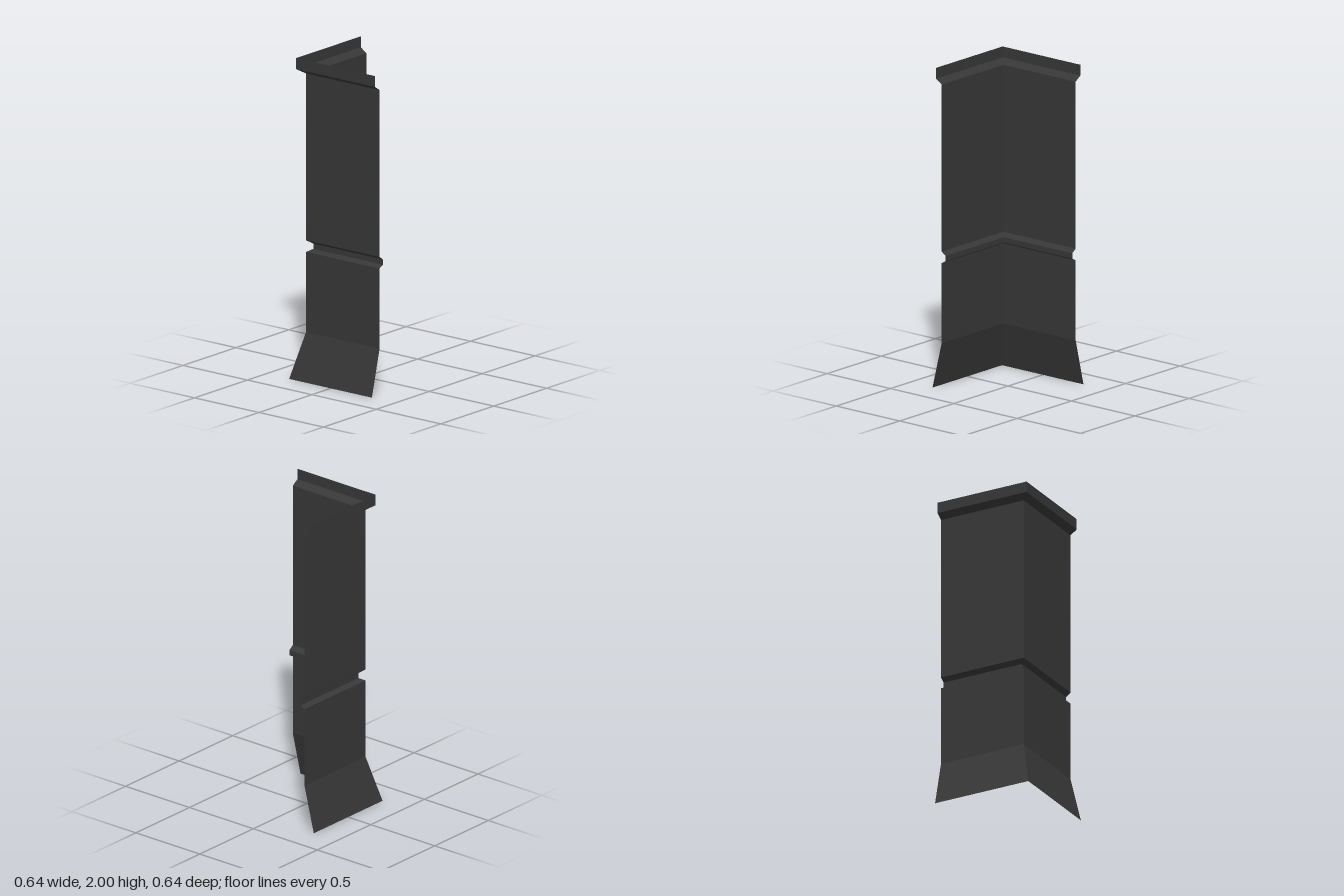
import * as THREE from 'three';

const END = 0.32; // where both arms stop

// Bands of the wall profile, each a list of [corner offset, height]
const BANDS = {
  flaredBase: [[0.322, 0], [0.25, 0.29]],
  lowerPanel: [[0.25, 0.29], [0.25, 0.79]],
  groove: [[0.25, 0.79], [0.219, 0.807], [0.219, 0.84], [0.25, 0.862]],
  upperPanel: [[0.25, 0.862], [0.25, 1.903]],
  topRim: [[0.25, 1.903], [0.293, 1.932], [0.293, 2]],
};

// Sheet band running along both arms and mitred at the corner
function bandGeometry(profile) {
  const positions = [];
  const quad = (a, b, c, d) => positions.push(...a, ...b, ...c, ...a, ...c, ...d);
  for (let i = 0; i < profile.length - 1; i++) {
    const [d0, y0] = profile[i];
    const [d1, y1] = profile[i + 1];
    // front arm, facing +z
    quad([-d0, y0, d0], [END, y0, d0], [END, y1, d1], [-d1, y1, d1]);
    // side arm, facing -x
    quad([-d0, y0, -END], [-d0, y0, d0], [-d1, y1, d1], [-d1, y1, -END]);
  }
  const geometry = new THREE.BufferGeometry();
  geometry.setAttribute('position', new THREE.Float32BufferAttribute(positions, 3));
  geometry.computeVertexNormals();
  return geometry;
}

export function createModel() {
  const group = new THREE.Group();
  group.name = 'cornerWall';
  const charcoal = new THREE.MeshStandardMaterial({ color: 0x373737, side: THREE.DoubleSide });
  charcoal.name = 'charcoal';
  for (const [name, profile] of Object.entries(BANDS)) {
    const mesh = new THREE.Mesh(bandGeometry(profile), charcoal);
    mesh.name = name;
    group.add(mesh);
  }
  return group;
}
